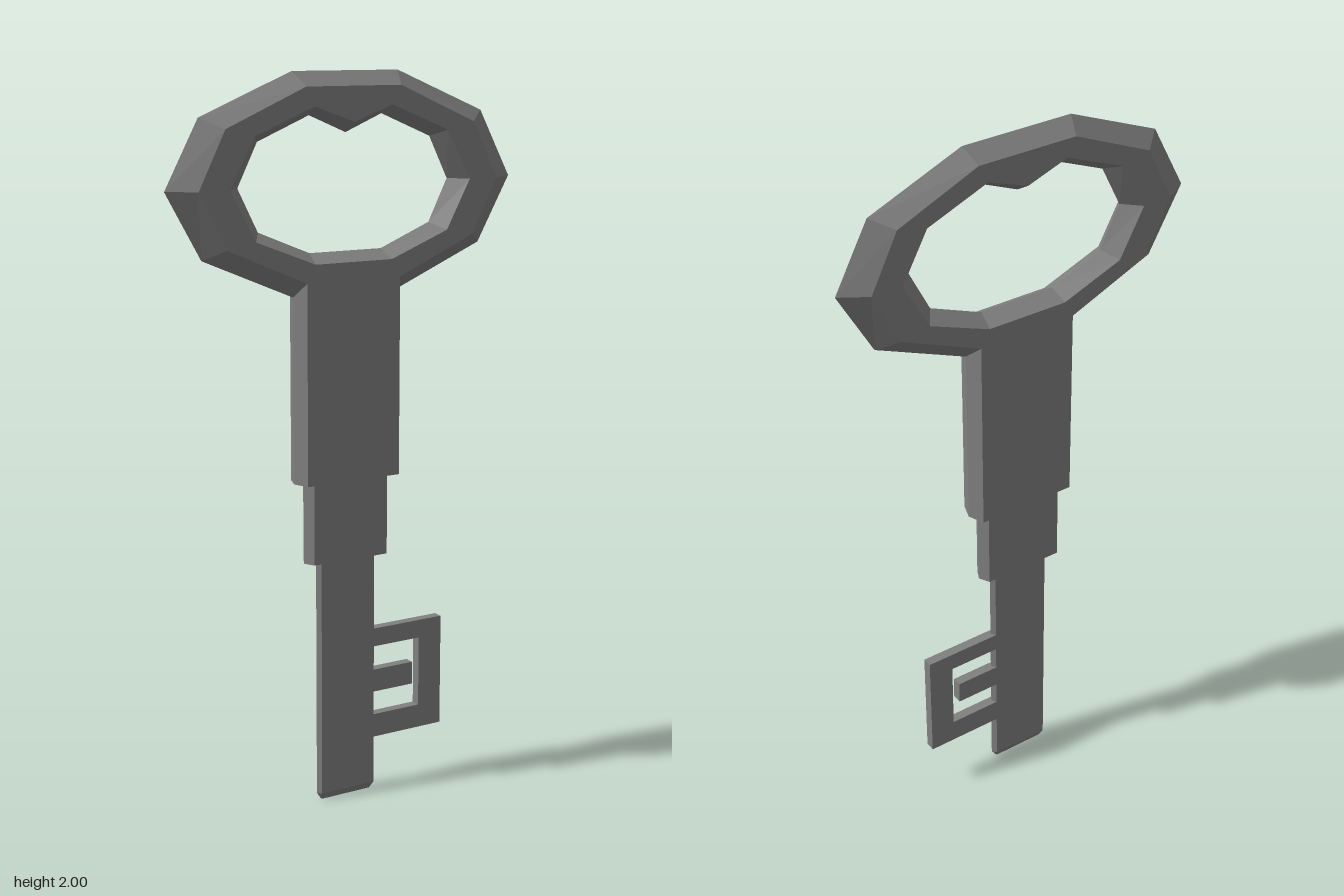
import * as THREE from 'three';

const steel = new THREE.MeshStandardMaterial({ color: 0x808080 });
steel.name = 'steel grey';

// Flat-faced skin over a row of sections, each an equal-length loop of Vector3
function loft(sections, closed) {
  const out = [];
  const tri = (...ps) => ps.forEach((p) => out.push(p.x, p.y, p.z));
  const n = sections.length, k = sections[0].length;
  for (let i = 0; i < (closed ? n : n - 1); i++) {
    const s = sections[i], t = sections[(i + 1) % n];
    for (let j = 0; j < k; j++) {
      const q = (j + 1) % k;
      tri(s[j], s[q], t[q]);
      tri(s[j], t[q], t[j]);
    }
  }
  if (!closed) {
    const s = sections[0], t = sections[n - 1];
    for (let j = 1; j < k - 1; j++) {
      tri(s[0], s[j + 1], s[j]);
      tri(t[0], t[j], t[j + 1]);
    }
  }
  const g = new THREE.BufferGeometry();
  g.setAttribute('position', new THREE.Float32BufferAttribute(out, 3));
  g.computeVertexNormals();
  return g;
}

// Six-sided bar section: flat front and back, ridged sides
function barSection(y, face, ridge, z) {
  return [[face, z], [ridge, 0], [face, -z], [-face, -z], [-ridge, 0], [-face, z]]
    .map(([x, d]) => new THREE.Vector3(x, y, d));
}

// Mirrors a right-hand half outline (top centre to bottom centre) into a full loop
function mirrorLoop(half) {
  const left = half.slice(1, -1).reverse().map(([x, y]) => [-x, y]);
  return [...half, ...left];
}

export function createModel() {
  const key = new THREE.Group();
  key.name = 'key';
  const add = (name, geometry) => {
    const mesh = new THREE.Mesh(geometry, steel);
    mesh.name = name;
    key.add(mesh);
    return mesh;
  };

  // Bow: a ring with diamond section and a notch at the top of the opening
  const outer = mirrorLoop([[0, 2], [0.16, 2], [0.428, 1.89], [0.525, 1.71], [0.425, 1.532], [0.16, 1.42], [0, 1.42]]);
  const faceOuter = mirrorLoop([[0, 1.962], [0.143, 1.962], [0.375, 1.862], [0.452, 1.71], [0.375, 1.56], [0.143, 1.46], [0, 1.46]]);
  const faceInner = mirrorLoop([[0, 1.87], [0.117, 1.912], [0.292, 1.842], [0.365, 1.71], [0.292, 1.576], [0.117, 1.508], [0, 1.508]]);
  const inner = mirrorLoop([[0, 1.842], [0.11, 1.888], [0.262, 1.825], [0.32, 1.71], [0.262, 1.595], [0.11, 1.533], [0, 1.533]]);
  const Z = 0.046;
  const at = ([x, y], z) => new THREE.Vector3(x, y, z);
  // The flat band and the inner bevel share the same corner points
  add('bow', loft(outer.map((p, i) => [
    at(p, 0), at(faceOuter[i], Z), at(faceInner[i], Z),
    at(inner[i], 0), at(faceInner[i], -Z), at(faceOuter[i], -Z),
  ]), true));

  // Shank in three steps, the last with a bevelled tip
  add('upperShank', loft([barSection(0.917, 0.143, 0.16, Z), barSection(1.46, 0.143, 0.16, Z)]));
  add('collar', loft([barSection(0.692, 0.115, 0.13, 0.03), barSection(0.917, 0.115, 0.13, 0.03)]));
  add('lowerShank', loft([
    barSection(0, 0.076, 0.08, 0.004),
    barSection(0.02, 0.084, 0.093, 0.014),
    barSection(0.692, 0.084, 0.093, 0.014),
  ]));

  // Bit: a square hook with a tooth inside it
  const hook = new THREE.Shape([
    [0.084, 0.155], [0.308, 0.155], [0.308, 0.475], [0.084, 0.475],
    [0.084, 0.423], [0.234, 0.423], [0.234, 0.222], [0.084, 0.222],
  ].map(([x, y]) => new THREE.Vector2(x, y)));
  const bit = new THREE.ExtrudeGeometry(hook, { depth: 0.028, bevelEnabled: false });
  bit.translate(0, 0, -0.014);
  add('bitHook', bit);
  add('bitTooth', new THREE.BoxGeometry(0.128, 0.065, 0.028)).position.set(0.148, 0.322, 0);

  return key;
}
